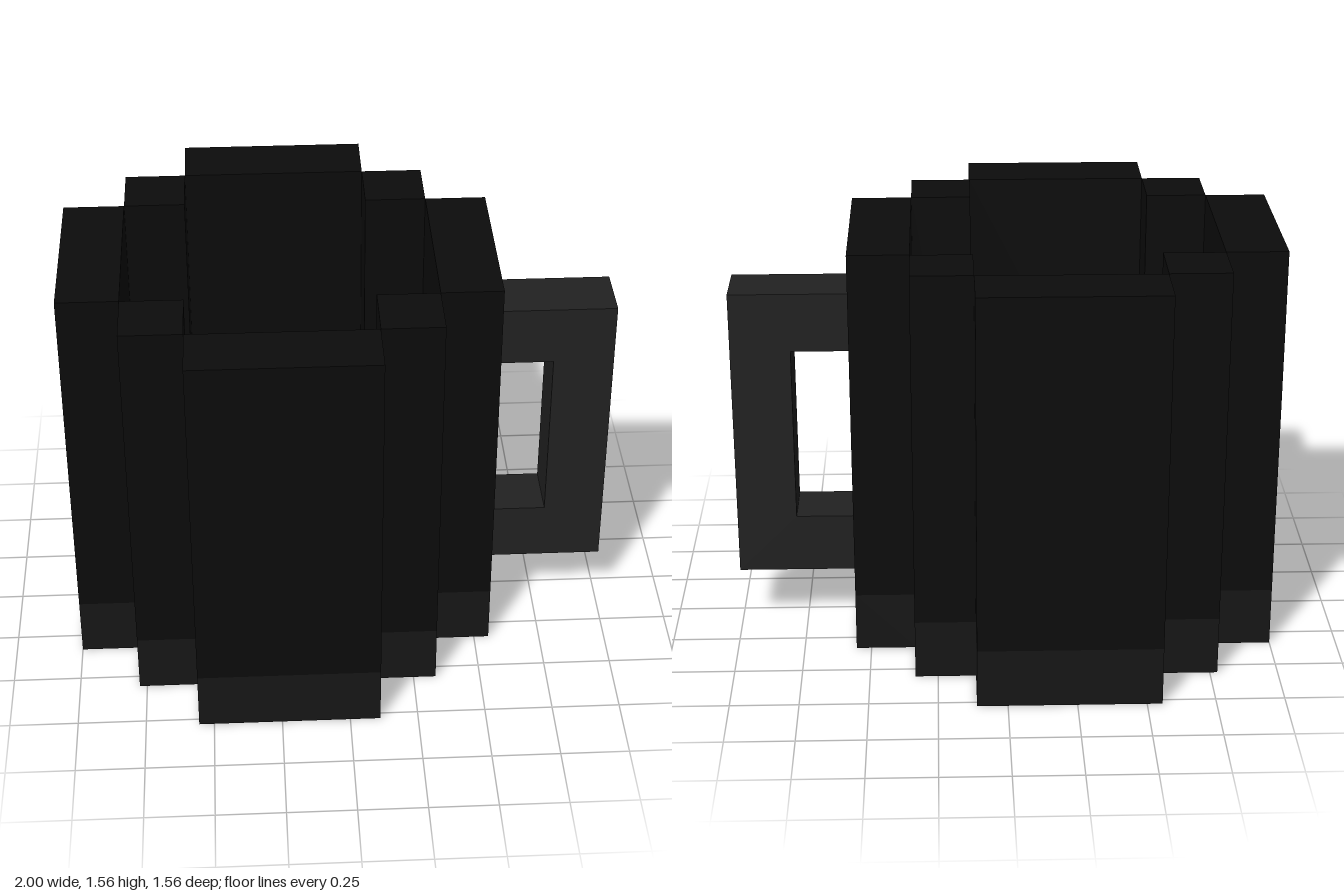
import * as THREE from 'three';

const U = 2 / 9; // one block

const material = (color) => new THREE.MeshStandardMaterial({ color, flatShading: true });

const toPoints = (blocks) => blocks.map(([x, y]) => new THREE.Vector2(x * U, y * U));

// Closed stepped outline from one quadrant's corners, mirrored to all four
function steppedOutline(quadrant) {
  const flipped = [...quadrant].reverse();
  return toPoints([
    ...quadrant,
    ...flipped.map(([x, y]) => [-x, y]),
    ...quadrant.map(([x, y]) => [-x, -y]),
    ...flipped.map(([x, y]) => [x, -y]),
  ]);
}

// Extrude a plan shape upwards by a number of blocks
function extrudeUp(shape, blocks) {
  return new THREE.ExtrudeGeometry(shape, { depth: blocks * U, bevelEnabled: false }).rotateX(-Math.PI / 2);
}

export function createModel() {
  const group = new THREE.Group();
  group.name = 'mug';

  function add(name, geometry, color, x, y, z) {
    const mesh = new THREE.Mesh(geometry, material(color));
    mesh.name = name;
    mesh.position.set(x * U, y * U, z * U);
    group.add(mesh);
  }

  const outer = steppedOutline([[3.5, 1.5], [2.5, 1.5], [2.5, 2.5], [1.5, 2.5], [1.5, 3.5]]);
  const inner = steppedOutline([[2.5, 1.5], [1.5, 1.5], [1.5, 2.5]]);

  // Solid base layer
  add('base', extrudeUp(new THREE.Shape(outer), 1), 0x171717, -1, 0, 0);

  // Hollow wall, one block thick
  const wallShape = new THREE.Shape(outer);
  wallShape.holes.push(new THREE.Path(inner));
  add('wall', extrudeUp(wallShape, 6), 0x0c0c0c, -1, 1, 0);

  // Lighter floor inside the cup
  const floor = new THREE.ShapeGeometry(new THREE.Shape(inner)).rotateX(-Math.PI / 2);
  add('innerFloor', floor, 0x2d2d2d, -1, 1.01, 0);

  // C-shaped handle on the left side
  const handleShape = new THREE.Shape(toPoints([
    [2.5, 1], [4.5, 1], [4.5, 6], [2.5, 6], [2.5, 5], [3.5, 5], [3.5, 2], [2.5, 2],
  ]));
  const handle = new THREE.ExtrudeGeometry(handleShape, { depth: U, bevelEnabled: false });
  add('handle', handle, 0x222222, 0, 0, -0.5);

  return group;
}
